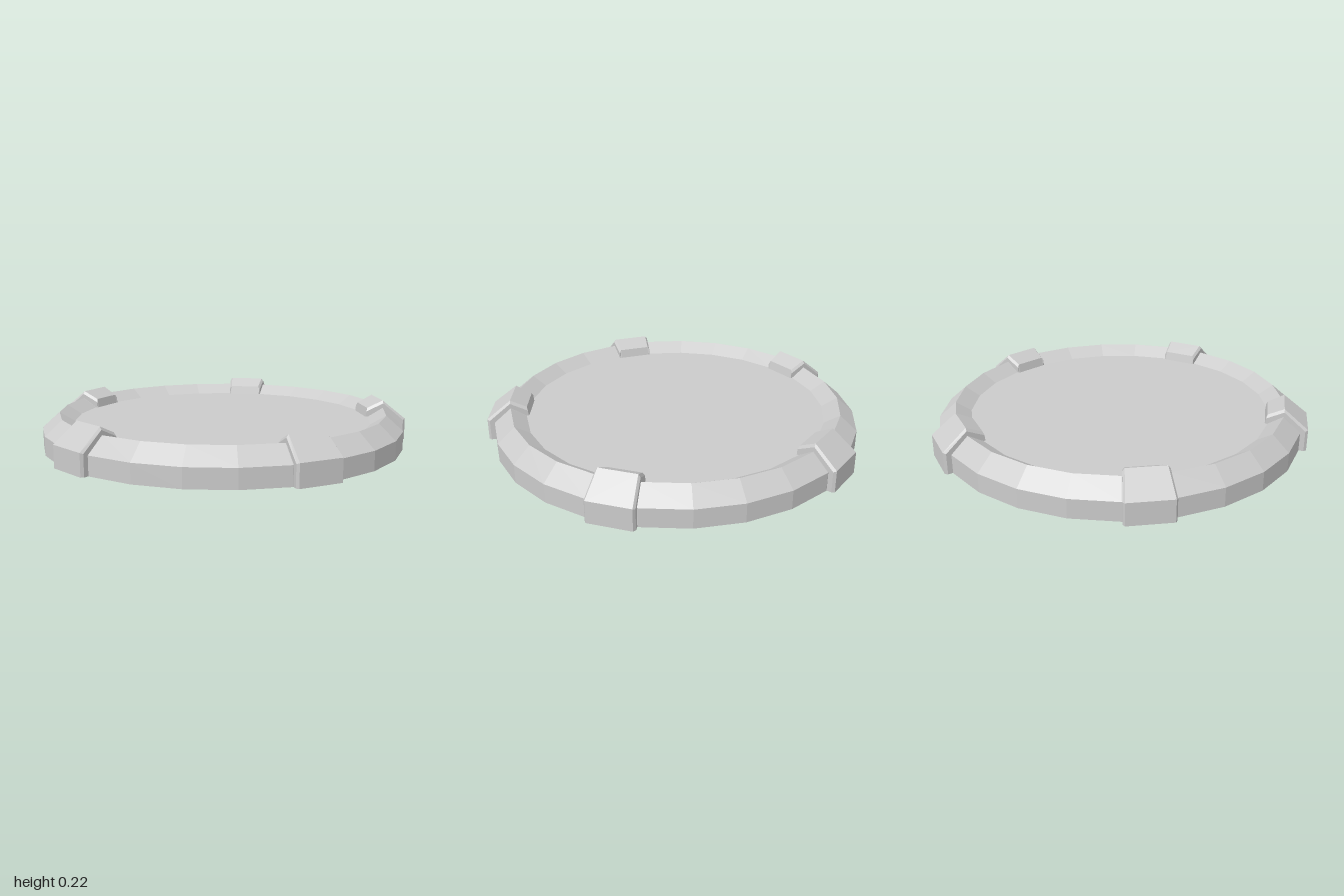
import * as THREE from 'three';

const SIDES = 25;
const BLOCKS = 5;

const material = new THREE.MeshStandardMaterial({
  color: 0xcccccc, flatShading: true, side: THREE.DoubleSide,
});

// Shallow dish: flat underside, chamfered rim, sunken floor
function dishGeometry() {
  const profile = [[0, 0], [0.98, 0], [0.98, 0.1], [0.889, 0.18], [0.808, 0.13], [0, 0.13]];
  return new THREE.LatheGeometry(
    profile.map(([r, y]) => new THREE.Vector2(r, y)), SIDES, Math.PI / 2);
}

// Clamp wrapped over the rim, lofted from three profiles [radius, height]:
// buried foot, side skirt and raised face, mirrored across its middle
function clampGeometry() {
  const foot = [[0.95, 0], [0.96, 0], [0.96, 0.1], [0.882, 0.17], [0.81, 0.12], [0.8, 0.12]];
  const skirt = [[0.95, 0], [0.998, 0], [0.998, 0.111], [0.885, 0.205], [0.794, 0.16], [0.79, 0.12]];
  const face = [[0.95, 0], [1.012, 0], [1.012, 0.117], [0.885, 0.22], [0.8, 0.178], [0.787, 0.12]];
  const columns = [
    [foot, -1, 0], [skirt, -1, 0], [face, -1, 0.011],
    [face, 1, 0.011], [skirt, 1, 0], [foot, 1, 0],
  ];
  const n = columns.length;
  const positions = [];
  const index = [];
  for (let i = 0; i < face.length; i++) {
    for (const [profile, sign, inset] of columns) {
      const [r, y] = profile[i];
      positions.push(sign * (r * 0.123 - inset), y, r);
    }
  }
  for (let i = 0; i < face.length - 1; i++) {
    for (let j = 0; j < n - 1; j++) {
      const a = i * n + j;
      index.push(a, a + 1, a + n + 1, a, a + n + 1, a + n);
    }
  }
  const geometry = new THREE.BufferGeometry();
  geometry.setAttribute('position', new THREE.Float32BufferAttribute(positions, 3));
  geometry.setIndex(index);
  const flat = geometry.toNonIndexed();
  flat.computeVertexNormals();
  return flat;
}

export function createModel() {
  const model = new THREE.Group();
  model.name = 'roundDish';

  const dish = new THREE.Mesh(dishGeometry(), material);
  dish.name = 'dish';
  model.add(dish);

  // Five clamps, each centred on one side of the rim
  const clamp = clampGeometry();
  for (let k = 0; k < BLOCKS; k++) {
    const mesh = new THREE.Mesh(clamp, material);
    mesh.name = `rimClamp${k + 1}`;
    mesh.rotation.y = THREE.MathUtils.degToRad(-3.6 + (360 / BLOCKS) * k);
    model.add(mesh);
  }

  // Centre the bounding box
  model.position.set(0.007, 0, -0.0215);
  const root = new THREE.Group();
  root.name = 'model';
  root.add(model);
  return root;
}
